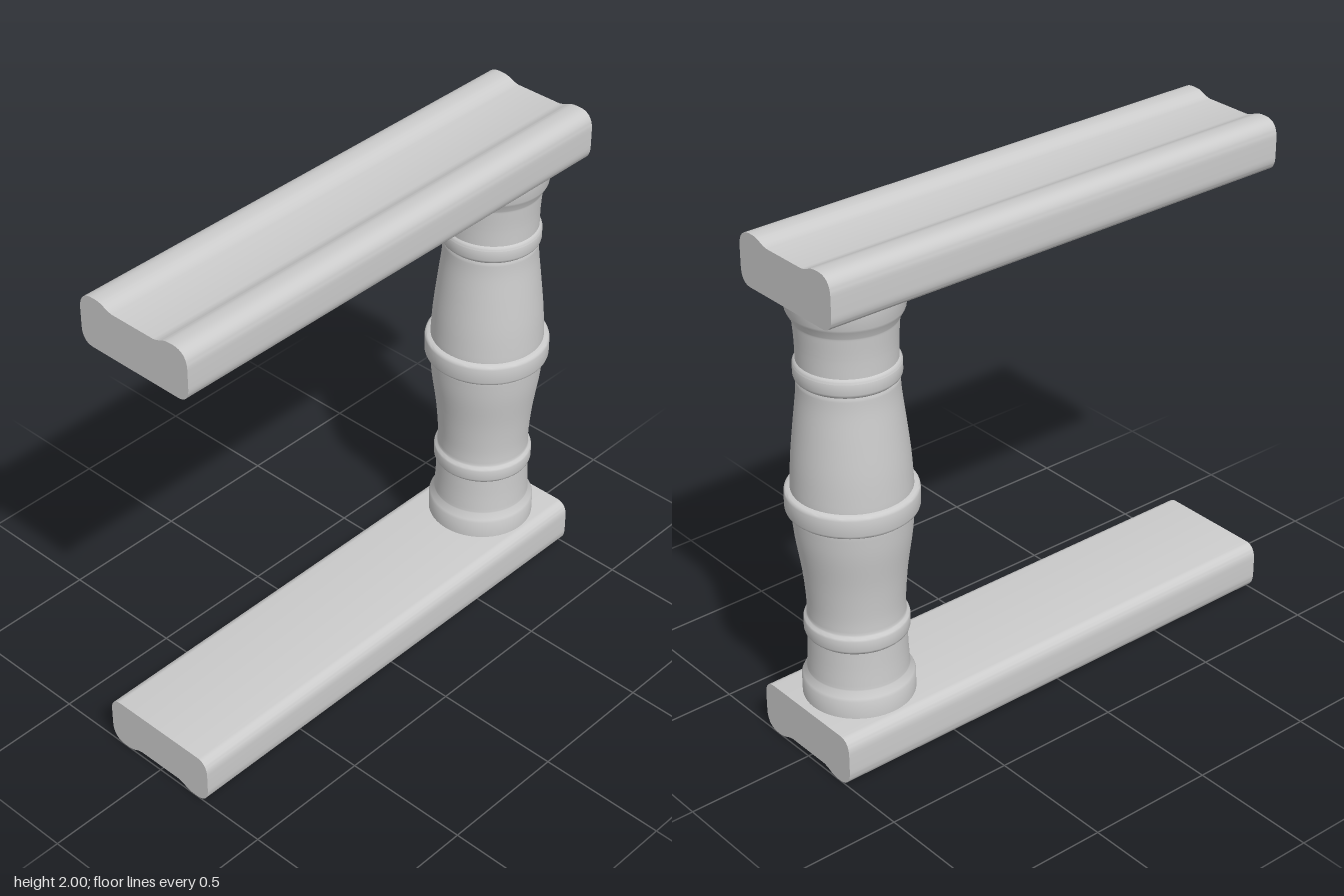
import * as THREE from 'three';
import { toCreasedNormals } from 'three/addons/utils/BufferGeometryUtils.js';

const material = new THREE.MeshStandardMaterial({ color: 0xcccccc });

// Rail section: flat underside, rounded sides, two humps beside a shallow groove
function railGeometry() {
  const s = new THREE.Shape();
  s.moveTo(-0.2, 0);
  s.lineTo(0.2, 0);
  s.bezierCurveTo(0.235, 0, 0.25, 0.025, 0.25, 0.06);
  s.lineTo(0.25, 0.13);
  s.bezierCurveTo(0.25, 0.175, 0.23, 0.2, 0.185, 0.2);
  s.bezierCurveTo(0.13, 0.2, 0.14, 0.185, 0.095, 0.178);
  s.lineTo(-0.095, 0.178);
  s.bezierCurveTo(-0.14, 0.185, -0.13, 0.2, -0.185, 0.2);
  s.bezierCurveTo(-0.23, 0.2, -0.25, 0.175, -0.25, 0.13);
  s.lineTo(-0.25, 0.06);
  s.bezierCurveTo(-0.25, 0.025, -0.235, 0, -0.2, 0);
  const g = new THREE.ExtrudeGeometry(s, { depth: 2, bevelEnabled: false, curveSegments: 12 });
  g.translate(0, 0, -1).rotateY(Math.PI / 2);
  return toCreasedNormals(g, 0.6);
}

// Rounded band between two heights, reaching radius r from base radius b
function band(y0, y1, b, r) {
  const c = Math.min(0.016, (y1 - y0) / 3);
  return [[b, y0], [r - c * 0.5, y0 + 0.003], [r - c * 0.15, y0 + c * 0.5], [r, y0 + c],
    [r, y1 - c], [r - c * 0.15, y1 - c * 0.5], [r - c * 0.5, y1 - 0.003], [b, y1]];
}

// Smooth run through a few [radius, height] points
function swell(points) {
  const curve = new THREE.SplineCurve(points.map(([r, y]) => new THREE.Vector2(r, y)));
  return curve.getPoints(16).map((p) => [p.x, p.y]);
}

function balusterGeometry() {
  const profile = [
    [0, 0.2], [0.205, 0.2], [0.205, 0.27], [0.2, 0.28], [0.186, 0.305],
    ...swell([[0.185, 0.31], [0.181, 0.38], [0.179, 0.45]]),
    ...band(0.458, 0.53, 0.179, 0.19),
    ...swell([[0.177, 0.535], [0.177, 0.6], [0.187, 0.72], [0.207, 0.86], [0.215, 0.955]]),
    ...band(0.96, 1.05, 0.215, 0.237),
    ...swell([[0.215, 1.055], [0.208, 1.17], [0.194, 1.3], [0.181, 1.41], [0.178, 1.47]]),
    ...band(1.476, 1.547, 0.176, 0.187),
    ...swell([[0.176, 1.55], [0.177, 1.62], [0.182, 1.695]]),
    [0.183, 1.7], [0.2, 1.73], [0.204, 1.74], [0.205, 1.8], [0, 1.8],
  ].map(([r, y]) => new THREE.Vector2(r, y));
  return toCreasedNormals(new THREE.LatheGeometry(profile, 64), 0.6);
}

export function createModel() {
  const group = new THREE.Group();
  const add = (name, geometry) => {
    const mesh = new THREE.Mesh(geometry, material);
    mesh.name = name;
    group.add(mesh);
    return mesh;
  };

  // Matching rails, the lower one turned upside down
  const rail = railGeometry();
  add('topRail', rail).position.y = 1.8;
  const bottom = add('bottomRail', rail);
  bottom.rotation.x = Math.PI;
  bottom.position.y = 0.2;

  // Single turned post near the +x end
  add('baluster', balusterGeometry()).position.x = 0.762;
  return group;
}
